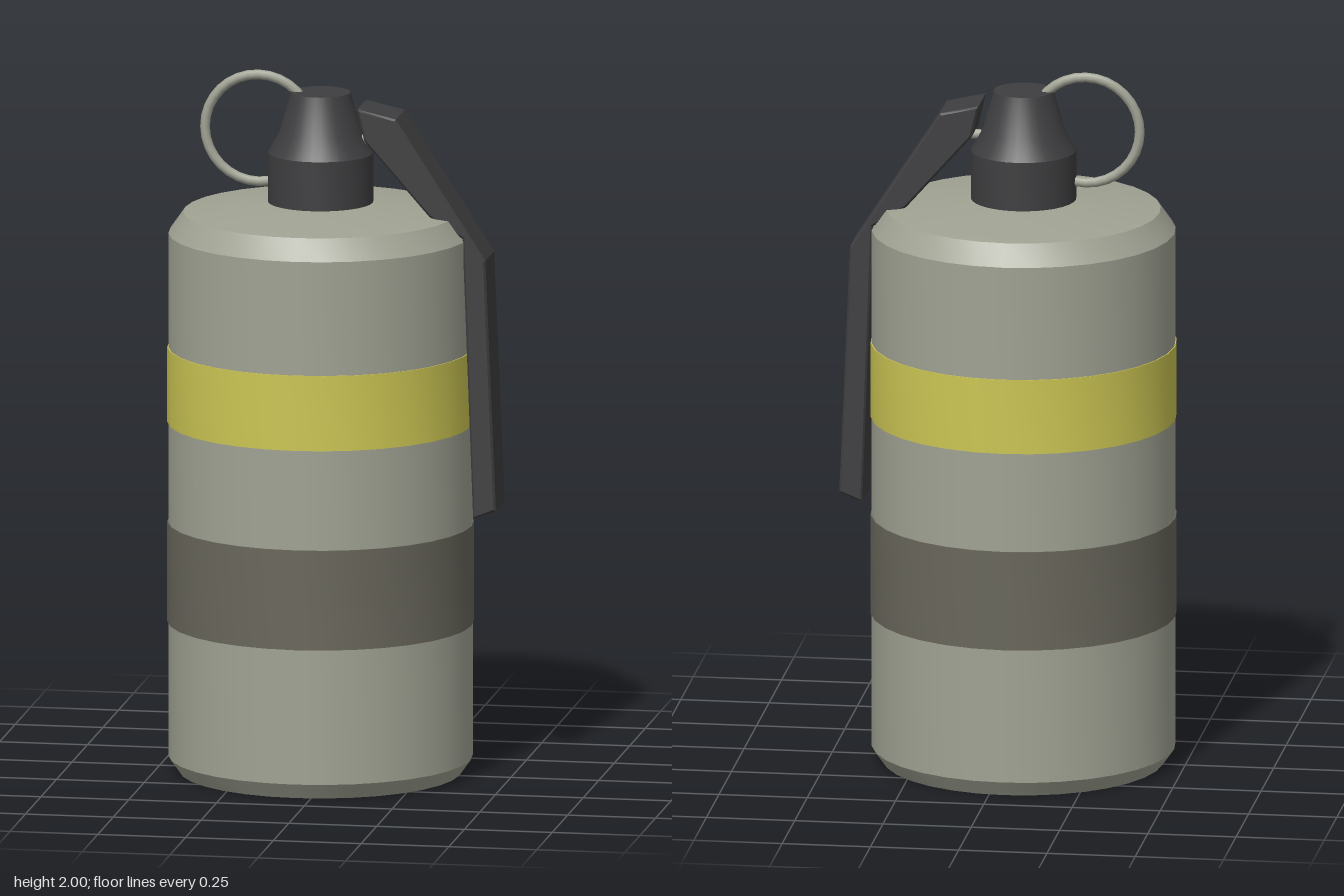
import * as THREE from 'three';
import { toCreasedNormals } from 'three/addons/utils/BufferGeometryUtils.js';

const material = (name, color) => new THREE.MeshStandardMaterial({ name, color });

export function createModel() {
  const group = new THREE.Group();
  const casing = material('greyGreen', 0xa0a293);
  const yellow = material('yellow', 0xcbc553);
  const brown = material('darkBrownGrey', 0x68665b);
  const black = material('charcoal', 0x3e3e40);
  const axisX = -0.042; // centre line of the canister

  const add = (name, geometry, mat, x = 0, y = 0, z = 0) => {
    const mesh = new THREE.Mesh(geometry, mat);
    mesh.name = name;
    mesh.position.set(x, y, z);
    group.add(mesh);
    return mesh;
  };
  const lathe = (points) => toCreasedNormals(
    new THREE.LatheGeometry(points.map(([r, y]) => new THREE.Vector2(r, y)), 32), 0.45);

  // Canister with chamfered shoulders and a shallow conical top
  add('canister', lathe([
    [0, 0], [0.395, 0], [0.427, 0.045], [0.427, 1.54], [0.385, 1.6], [0.13, 1.632], [0, 1.632],
  ]), casing, axisX);

  // Painted bands, slightly proud of the wall
  const band = (name, bottom, top, mat) => add(name, lathe([
    [0.426, bottom], [0.43, bottom], [0.43, top], [0.426, top],
  ]), mat, axisX);
  band('upperBand', 1.0, 1.215, yellow);
  band('lowerBand', 0.43, 0.715, brown);

  // Fuse neck
  add('fuseNeck', lathe([
    [0, 1.6], [0.148, 1.6], [0.148, 1.77], [0.115, 1.83], [0.084, 1.942], [0, 1.942],
  ]), black, axisX);

  // Bent safety lever
  const bevel = 0.006;
  const width = 0.154;
  const leverShape = new THREE.Shape([
    [0.075, 1.91], [0.095, 1.82], [0.28, 1.61], [0.375, 1.55], [0.405, 0.75],
    [0.47, 0.775], [0.44, 1.49], [0.185, 1.885],
  ].map(([x, y]) => new THREE.Vector2(x, y)));
  const lever = new THREE.ExtrudeGeometry(leverShape, {
    depth: width - 2 * bevel, bevelEnabled: true, bevelSegments: 1,
    bevelThickness: bevel, bevelSize: bevel, bevelOffset: -bevel,
  });
  lever.translate(0, 0, -width / 2 + bevel);
  add('safetyLever', lever, black);

  // Pull ring and the pin through the neck
  add('pullRing', new THREE.TorusGeometry(0.153, 0.014, 8, 32), casing, -0.218, 1.833);
  const pin = add('safetyPin', new THREE.CylinderGeometry(0.014, 0.014, 0.25, 8), casing, 0.015, 1.81);
  pin.rotation.z = Math.PI / 2;

  return group;
}
